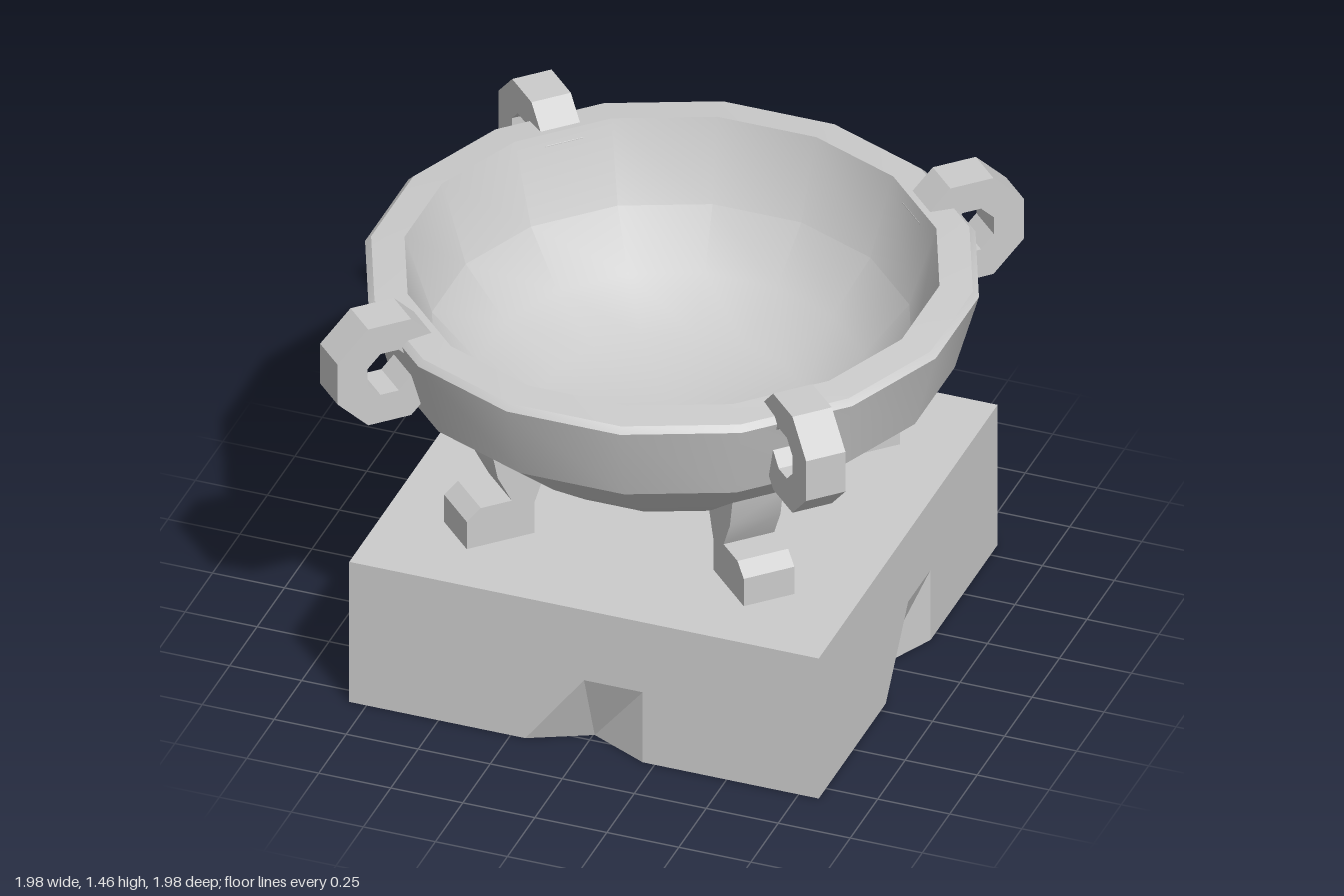
import * as THREE from 'three';
import { toCreasedNormals } from 'three/addons/utils/BufferGeometryUtils.js';

const material = new THREE.MeshStandardMaterial({ color: 0xcccccc, side: THREE.DoubleSide });

function part(name, geometry, crease = 0.5) {
  const mesh = new THREE.Mesh(toCreasedNormals(geometry, crease), material);
  mesh.name = name;
  return mesh;
}

// Shape in the (radius, y) plane, extruded evenly to both sides of it
function slab(shape, depth) {
  return new THREE.ExtrudeGeometry(shape, { depth, bevelEnabled: false }).translate(0, 0, -depth / 2);
}

function polygon(radius, sides, cx, cy, Type = THREE.Shape) {
  const points = [];
  for (let i = 0; i < sides; i++) {
    const a = ((i + 0.5) / sides) * Math.PI * 2;
    points.push(new THREE.Vector2(cx + radius * Math.cos(a), cy + radius * Math.sin(a)));
  }
  return new Type(points);
}

// Square block with a shallow chipped hollow at the foot of each side
function plinthGeometry() {
  const half = 0.815, height = 0.54;
  const g = new THREE.BoxGeometry(half * 2, height, half * 2, 8, 2, 8);
  const p = g.attributes.position;
  for (let i = 0; i < p.count; i++) {
    const x = p.getX(i), y = p.getY(i), z = p.getZ(i);
    if (y > -height / 2 + 0.01) continue;
    if (Math.abs(x) < 0.01 && Math.abs(z) > half - 0.01) p.setZ(i, z * 0.88);
    if (Math.abs(z) < 0.01 && Math.abs(x) > half - 0.01) p.setX(i, x * 0.88);
  }
  return g.translate(0.005, 0.025 + height / 2, 0);
}

export function createModel() {
  const model = new THREE.Group();
  model.name = 'bowlOnPlinth';

  model.add(part('plinth', plinthGeometry(), 0.2));

  // Sixteen-sided bowl: outside from the base up, over the sloped rim, down the inside
  const profile = [
    [0, 0.73], [0.3, 0.745], [0.53, 0.79], [0.72, 0.93], [0.93, 1.11], [1.01, 1.39],
    [0.99, 1.41], [0.88, 1.42], [0.79, 1.14], [0.64, 0.97], [0.44, 0.86], [0, 0.81],
  ].map(([r, y]) => new THREE.Vector2(r, y));
  const bowl = new THREE.LatheGeometry(profile, 16).rotateY(Math.PI / 16);
  model.add(part('bowl', bowl, 0.45));

  // Paw-like leg, and ring handle standing in the radial plane
  const legShape = new THREE.Shape([
    [0.53, 0.56], [0.77, 0.56], [0.77, 0.67], [0.72, 0.71], [0.61, 0.71],
    [0.66, 0.81], [0.68, 0.91], [0.58, 0.86], [0.49, 0.79], [0.53, 0.68],
  ].map(([r, y]) => new THREE.Vector2(r, y)));
  const legGeometry = slab(legShape, 0.18);

  const ringShape = polygon(0.2, 8, 1.035, 1.305);
  ringShape.holes.push(polygon(0.085, 8, 1.035, 1.305, THREE.Path));
  const ringGeometry = slab(ringShape, 0.14);

  // One leg and one handle on each diagonal
  for (let i = 0; i < 4; i++) {
    const corner = new THREE.Group();
    corner.name = 'corner' + (i + 1);
    corner.add(part('leg', legGeometry), part('ringHandle', ringGeometry));
    corner.rotation.y = Math.PI / 4 + (i * Math.PI) / 2;
    model.add(corner);
  }
  return model;
}
